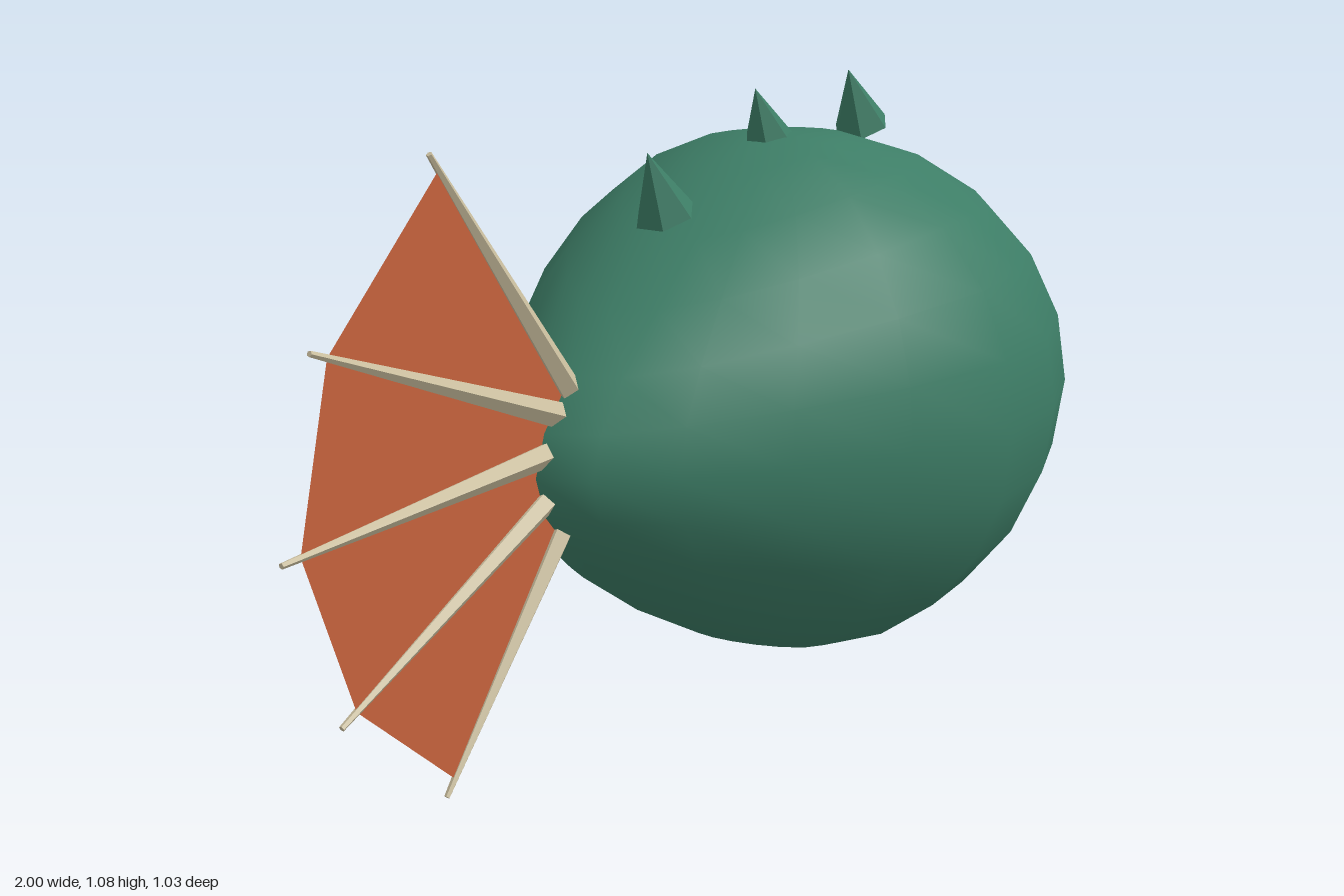
import * as THREE from 'three';
import { mergeVertices } from 'three/addons/utils/BufferGeometryUtils.js';

const bodyGreen = new THREE.MeshStandardMaterial({ color: 0x3d7d66 });
bodyGreen.name = 'body green';
const spikeGreen = new THREE.MeshStandardMaterial({ color: 0x3d7d66, flatShading: true });
spikeGreen.name = 'spike green';
const finOrange = new THREE.MeshStandardMaterial({ color: 0xc4613c, side: THREE.DoubleSide });
finOrange.name = 'fin orange';
const bone = new THREE.MeshStandardMaterial({ color: 0xcbbf9f, flatShading: true });
bone.name = 'bone';

function add(parent, name, geometry, material) {
  const mesh = new THREE.Mesh(geometry, material);
  mesh.name = name;
  parent.add(mesh);
  return mesh;
}

// Egg-shaped body: a sphere whose rear half narrows toward the tail
function bodyGeometry() {
  let geo = new THREE.SphereGeometry(1, 20, 12);
  const p = geo.attributes.position;
  for (let i = 0; i < p.count; i++) {
    const x = p.getX(i);
    const taper = x < 0 ? 1 - 0.455 * Math.pow(-x, 1.2) : 1;
    p.setXYZ(i, 0.292 + 0.705 * x, 0.502 + 0.498 * p.getY(i) * taper, 0.516 * p.getZ(i) * taper);
  }
  geo.deleteAttribute('uv');
  geo.deleteAttribute('normal');
  geo = mergeVertices(geo, 1e-4);
  geo.computeVertexNormals();
  return geo;
}

// Tail ribs: root and tip of each, in the x-y plane
const ribs = [
  [-0.31, 0.62, -0.655, 1.07],
  [-0.33, 0.59, -0.925, 0.815],
  [-0.34, 0.54, -1.0, 0.515],
  [-0.33, 0.485, -0.89, 0.225],
  [-0.31, 0.44, -0.655, 0.025],
];

function addRib(parent, [x0, y0, x1, y1]) {
  const dx = x1 - x0, dy = y1 - y0;
  const rib = add(parent, 'finRib', new THREE.CylinderGeometry(0.005, 0.024, Math.hypot(dx, dy), 5), bone);
  rib.position.set((x0 + x1) / 2, (y0 + y1) / 2, 0);
  rib.rotation.z = Math.atan2(-dx, dy);
}

// Webbing stops a little short of the rib tips
function webGeometry() {
  const along = (r, t) => new THREE.Vector2(r[0] + (r[2] - r[0]) * t, r[1] + (r[3] - r[1]) * t);
  const outer = ribs.map((r) => along(r, 0.94));
  const inner = ribs.map((r) => along(r, 0)).reverse();
  return new THREE.ShapeGeometry(new THREE.Shape([...outer, ...inner]));
}

export function createModel() {
  const model = new THREE.Group();
  model.name = 'creature';
  add(model, 'body', bodyGeometry(), bodyGreen);

  // Back spikes, leaning toward the tail
  for (const [x, y] of [[-0.045, 0.89], [0.29, 0.967], [0.618, 0.972]]) {
    const geo = new THREE.ConeGeometry(0.056, 0.125, 6).translate(0, 0.0625, 0);
    const spike = add(model, 'backSpike', geo, spikeGreen);
    spike.position.set(x, y, 0);
    spike.rotation.z = 0.42;
  }

  // Tail fan
  const fin = new THREE.Group();
  fin.name = 'tailFin';
  add(fin, 'finWeb', webGeometry(), finOrange);
  ribs.forEach((r) => addRib(fin, r));
  model.add(fin);
  return model;
}
